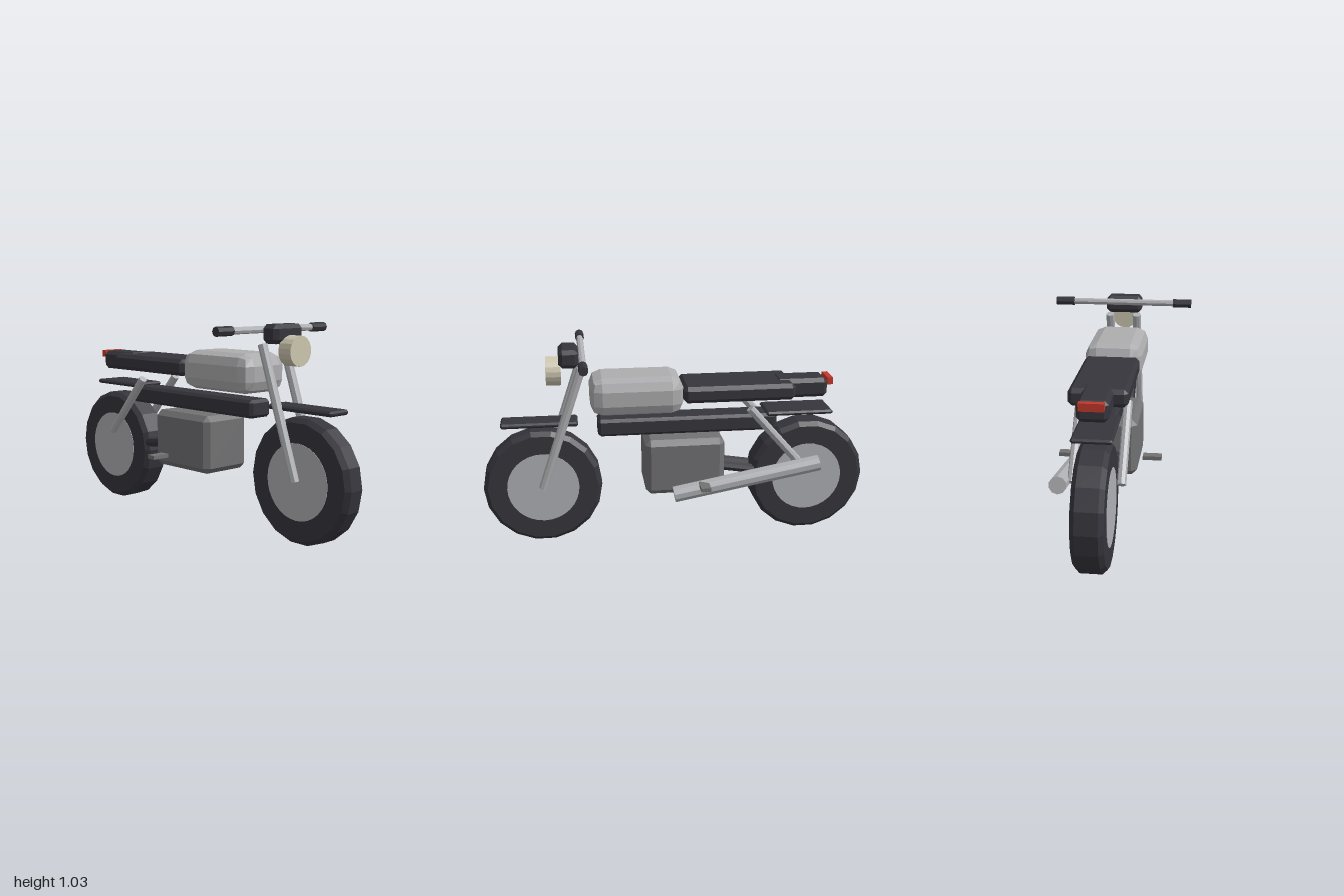
import * as THREE from 'three';
import { RoundedBoxGeometry } from 'three/addons/geometries/RoundedBoxGeometry.js';
import { ConvexGeometry } from 'three/addons/geometries/ConvexGeometry.js';

const mat = (name, color) => {
  const m = new THREE.MeshStandardMaterial({ color });
  m.name = name;
  return m;
};

// Gives every face its own normal
function flat(geometry) {
  const g = geometry.index ? geometry.toNonIndexed() : geometry;
  g.computeVertexNormals();
  return g;
}

// Box with one flat chamfer along each edge
function chamferBox(w, h, d, c) {
  const points = [];
  for (const sx of [-1, 1]) for (const sy of [-1, 1]) for (const sz of [-1, 1]) {
    const x = w / 2, y = h / 2, z = d / 2;
    points.push(
      new THREE.Vector3(sx * x, sy * (y - c), sz * (z - c)),
      new THREE.Vector3(sx * (x - c), sy * y, sz * (z - c)),
      new THREE.Vector3(sx * (x - c), sy * (y - c), sz * z));
  }
  return new ConvexGeometry(points);
}

export function createModel() {
  const bike = new THREE.Group();
  bike.name = 'motorcycle';

  const black = mat('black', 0x36353c);
  const metal = mat('brightMetal', 0xb0b1b5);
  const paint = mat('tankGrey', 0xadadaf);
  const engineGrey = mat('engineGrey', 0x727274);
  const cream = mat('lampCream', 0xcdc7b0);
  const red = mat('tailRed', 0xc4392b);

  function add(name, geometry, material, x = 0, y = 0, z = 0) {
    const mesh = new THREE.Mesh(geometry, material);
    mesh.name = name;
    mesh.position.set(x, y, z);
    bike.add(mesh);
    return mesh;
  }

  // Round bar between two points
  function bar(name, a, b, r, material, sides = 8) {
    const from = new THREE.Vector3(...a), to = new THREE.Vector3(...b);
    const dir = to.clone().sub(from);
    const mesh = add(name, flat(new THREE.CylinderGeometry(r, r, dir.length(), sides)), material);
    mesh.position.copy(from).add(to).multiplyScalar(0.5);
    mesh.quaternion.setFromUnitVectors(new THREE.Vector3(0, 1, 0), dir.normalize());
    return mesh;
  }

  // Wheels: chamfered tyre with a flush hub disc
  function wheel(name, z, half) {
    const R = 0.305, c = 0.022;
    const profile = [[0, -half], [R - c, -half], [R, c - half], [R, half - c], [R - c, half], [0, half]]
      .map(([r, y]) => new THREE.Vector2(r, y));
    const tyre = add(name + 'Tyre', flat(new THREE.LatheGeometry(profile, 18)), black, 0, 0.303, z);
    tyre.rotation.z = Math.PI / 2;
    const hub = add(name + 'Hub', flat(new THREE.CylinderGeometry(0.185, 0.185, half * 2 + 0.004, 32)), metal, 0, 0.303, z);
    hub.rotation.z = Math.PI / 2;
  }
  wheel('front', 0.695, 0.06);
  wheel('rear', -0.695, 0.075);

  // Body
  add('frame', chamferBox(0.14, 0.09, 0.93, 0.015), black, 0, 0.615, -0.06);
  add('engine', chamferBox(0.294, 0.295, 0.41, 0.028), engineGrey, 0, 0.413, -0.035);
  add('fuelTank', flat(new RoundedBoxGeometry(0.294, 0.195, 0.47, 1, 0.06)), paint, 0, 0.79, 0.205);
  add('seat', chamferBox(0.28, 0.085, 0.575, 0.02), black, 0, 0.793, -0.315);
  add('tail', chamferBox(0.147, 0.1, 0.27, 0.02), black, 0, 0.79, -0.65);
  add('tailLight', new THREE.BoxGeometry(0.115, 0.037, 0.03), red, 0, 0.822, -0.8);
  add('frontFender', chamferBox(0.13, 0.025, 0.39, 0.009), black, 0, 0.643, 0.7);
  add('rearFender', chamferBox(0.19, 0.022, 0.35, 0.009), black, 0, 0.664, -0.64);

  // Steering head, lamp and handlebar
  add('steeringHead', chamferBox(0.196, 0.092, 0.1, 0.02), black, 0, 0.988, 0.54);
  bar('headlight', [0, 0.91, 0.58], [0, 0.91, 0.655], 0.073, cream, 18);
  bar('handlebar', [-0.28, 1.007, 0.475], [0.28, 1.007, 0.475], 0.017, metal);

  // Mirrored parts
  for (const s of [-1, 1]) {
    bar('grip', [s * 0.275, 1.007, 0.475], [s * 0.375, 1.007, 0.475], 0.023, black);
    bar('forkLeg', [s * 0.074, 0.937, 0.48], [s * 0.074, 0.305, 0.695], 0.023, metal);
    bar('rearShock', [s * 0.116, 0.71, -0.37], [s * 0.116, 0.395, -0.645], 0.022, metal);
    bar('swingarm', [s * 0.045, 0.382, -0.2], [s * 0.045, 0.305, -0.68], 0.025, black);
    add('footPeg', new THREE.BoxGeometry(0.096, 0.02, 0.05), engineGrey, s * 0.218, 0.332, -0.125);
  }

  // Exhaust along the left side
  bar('exhaust', [0.168, 0.276, 0.027], [0.168, 0.415, -0.73], 0.042, metal, 10);

  return bike;
}
